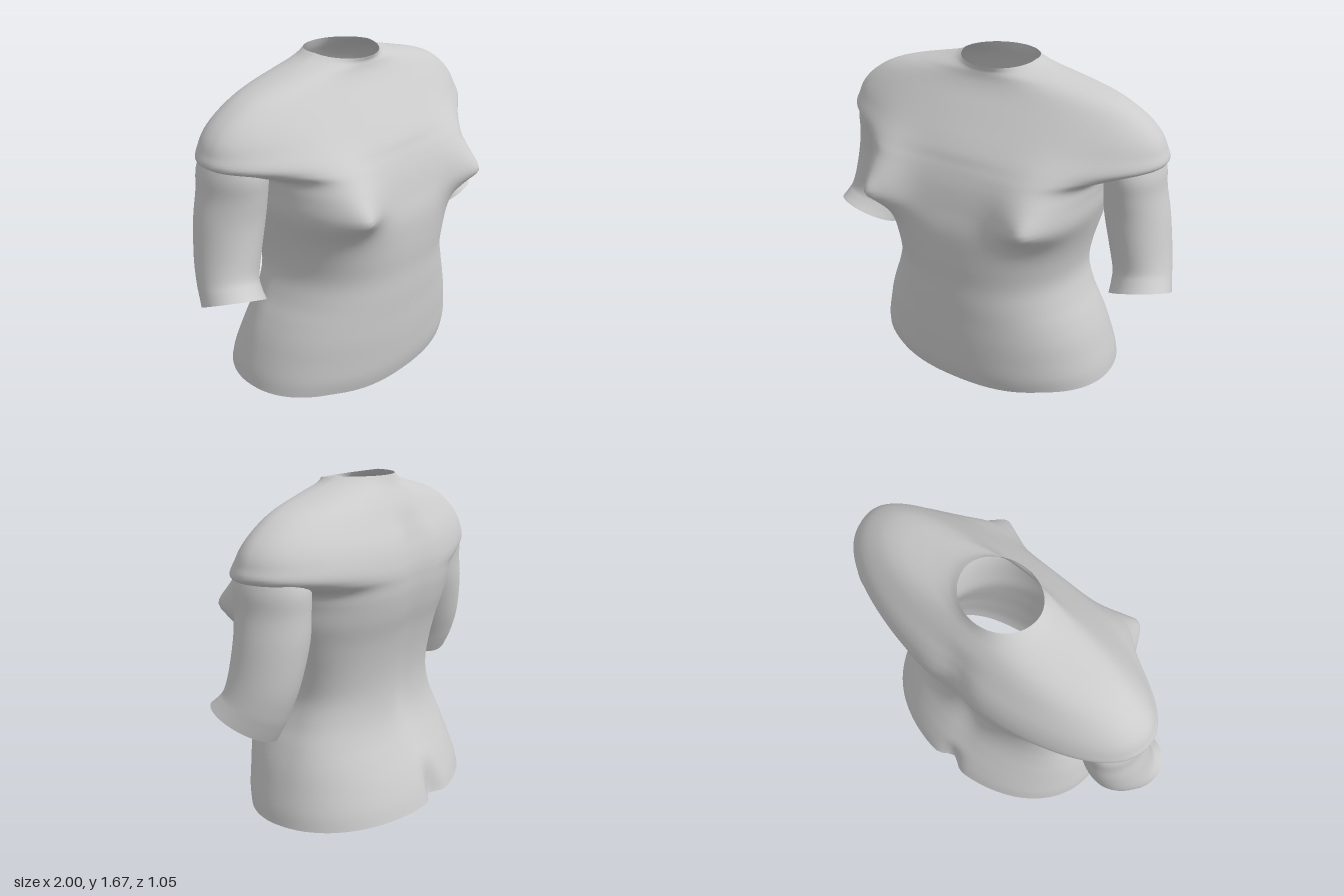
import * as THREE from 'three';

const { smoothstep } = THREE.MathUtils;
const gauss = (v, width) => Math.exp(-((v / width) ** 2));

// Catmull-Rom through rows of numbers; returns `steps` rows per span
function refine(rows, steps) {
  const out = [];
  const at = (i) => rows[Math.min(Math.max(i, 0), rows.length - 1)];
  for (let i = 0; i < rows.length - 1; i++) {
    for (let k = 0; k < steps; k++) {
      const t = k / steps;
      out.push(at(i).map((p1, c) => {
        const p0 = at(i - 1)[c], p2 = at(i + 1)[c], p3 = at(i + 2)[c];
        return p1 + 0.5 * t * (p2 - p0 + t * (2 * p0 - 5 * p1 + 4 * p2 - p3 + t * (3 * (p1 - p2) + p3 - p0)));
      }));
    }
  }
  out.push(rows[rows.length - 1]);
  return out;
}

// Smooth open tube: point(row, angle) places each vertex, rows run upward
function loft(rows, segments, point) {
  const positions = [], index = [];
  rows.forEach((row, j) => {
    for (let i = 0; i < segments; i++) {
      positions.push(...point(row, (i / segments) * Math.PI * 2));
      if (j === rows.length - 1) continue;
      const a = j * segments + i, b = j * segments + ((i + 1) % segments);
      index.push(a, a + segments, b, b, a + segments, b + segments);
    }
  });
  const geometry = new THREE.BufferGeometry();
  geometry.setAttribute('position', new THREE.Float32BufferAttribute(positions, 3));
  geometry.setIndex(index);
  geometry.computeVertexNormals();
  return geometry;
}

// Torso sections: height, half width, front z, back z, front and back squareness
const TORSO = [
  [0.025, 0.69, 0.425, -0.53, 0.92, 0.95],
  [0.10, 0.68, 0.445, -0.505, 0.92, 0.95],
  [0.20, 0.655, 0.455, -0.46, 0.92, 0.95],
  [0.30, 0.625, 0.46, -0.405, 0.9, 0.92],
  [0.40, 0.585, 0.462, -0.355, 0.88, 0.9],
  [0.50, 0.54, 0.465, -0.325, 0.86, 0.88],
  [0.62, 0.508, 0.465, -0.315, 0.85, 0.86],
  [0.75, 0.522, 0.472, -0.325, 0.82, 0.84],
  [0.90, 0.562, 0.47, -0.355, 0.76, 0.84],
  [1.02, 0.592, 0.445, -0.39, 0.72, 0.82],
  [1.12, 0.60, 0.42, -0.41, 0.7, 0.78],
  [1.19, 0.625, 0.395, -0.415, 0.7, 0.76],
  [1.235, 0.77, 0.375, -0.415, 0.85, 0.82],
  [1.28, 0.885, 0.355, -0.41, 1.0, 0.9],
  [1.34, 0.875, 0.315, -0.395, 1.02, 0.9],
  [1.40, 0.845, 0.27, -0.37, 1.0, 0.9],
  [1.46, 0.785, 0.225, -0.335, 0.98, 0.9],
  [1.52, 0.69, 0.18, -0.30, 0.95, 0.92],
  [1.56, 0.585, 0.155, -0.275, 0.95, 0.95],
  [1.59, 0.465, 0.142, -0.255, 0.97, 0.97],
  [1.62, 0.335, 0.136, -0.235, 1, 1],
  [1.645, 0.25, 0.136, -0.222, 1, 1],
  [1.67, 0.2, 0.142, -0.212, 1, 1],
];

function torsoPoint([y, w, front, back, pf, pb], angle) {
  const zc = -0.03, c = Math.cos(angle), s = Math.sin(angle);
  const p = s > 0 ? pf : pb;
  let x = w * Math.sign(c) * Math.abs(c) ** p;
  let z = zc + (s > 0 ? front - zc : back - zc) * Math.abs(s) ** p;
  if (s > 0) {
    // breasts: long slope above, tight curve below
    const dx = (Math.abs(x) - 0.44) / 0.16;
    const dy = (y - 1.02) / (y > 1.02 ? 0.2 : 0.105);
    const d2 = dx * dx + dy * dy;
    const bump = Math.exp(-d2);
    z += 0.135 * bump + 0.028 * Math.exp(-d2 * 9);
    x += Math.sign(x) * 0.015 * bump;
  } else {
    // spine groove and the cleft at the lower edge
    const spine = 0.032 * smoothstep(y, 0.15, 0.6) * (1 - smoothstep(y, 1.35, 1.55));
    const cleft = 0.055 * (1 - smoothstep(y, 0.03, 0.25));
    z += spine * gauss(x, 0.1) + cleft * gauss(x, 0.06);
  }
  // hem and neckline dip at the front
  y -= 0.025 * smoothstep(z, 0.3, 0.43) * (1 - smoothstep(y, 0.02, 0.2));
  y -= 0.026 * smoothstep(y, 1.6, 1.67) * Math.max(0, (z - zc) / 0.17);
  return [x, y, z];
}

// Arm rings from the open end up: centre x, y, z, radius x, radius z, tilt
const ARM = [
  [0.848, 0.62, 0.04, 0.152, 0.15, 1],
  [0.838, 0.665, 0.008, 0.146, 0.147, 0.9],
  [0.826, 0.72, -0.02, 0.143, 0.15, 0.7],
  [0.798, 0.83, -0.045, 0.149, 0.167, 0.35],
  [0.76, 1.0, -0.06, 0.155, 0.18, 0.1],
  [0.742, 1.13, -0.055, 0.144, 0.187, 0],
  [0.735, 1.23, -0.05, 0.139, 0.192, 0],
  [0.715, 1.31, -0.045, 0.13, 0.17, 0],
  [0.69, 1.37, -0.045, 0.1, 0.13, 0],
];

export function createModel() {
  const group = new THREE.Group();
  const material = new THREE.MeshStandardMaterial({ color: 0xcccccc, side: THREE.DoubleSide });
  const add = (name, geometry) => {
    const mesh = new THREE.Mesh(geometry, material);
    mesh.name = name;
    group.add(mesh);
  };

  add('torso', loft(refine(TORSO, 5), 144, torsoPoint));

  // arms, cut at a slant below the elbow
  const armRows = refine(ARM, 5);
  for (const [name, side] of [['leftArm', 1], ['rightArm', -1]]) {
    add(name, loft(armRows, 48, ([cx, cy, cz, rx, rz, tilt], angle) => {
      const dx = rx * Math.cos(angle), dz = rz * Math.sin(angle);
      return [side * cx + dx, cy + tilt * (0.32 * side * dx + 0.47 * dz), cz + dz];
    }));
  }
  return group;
}
